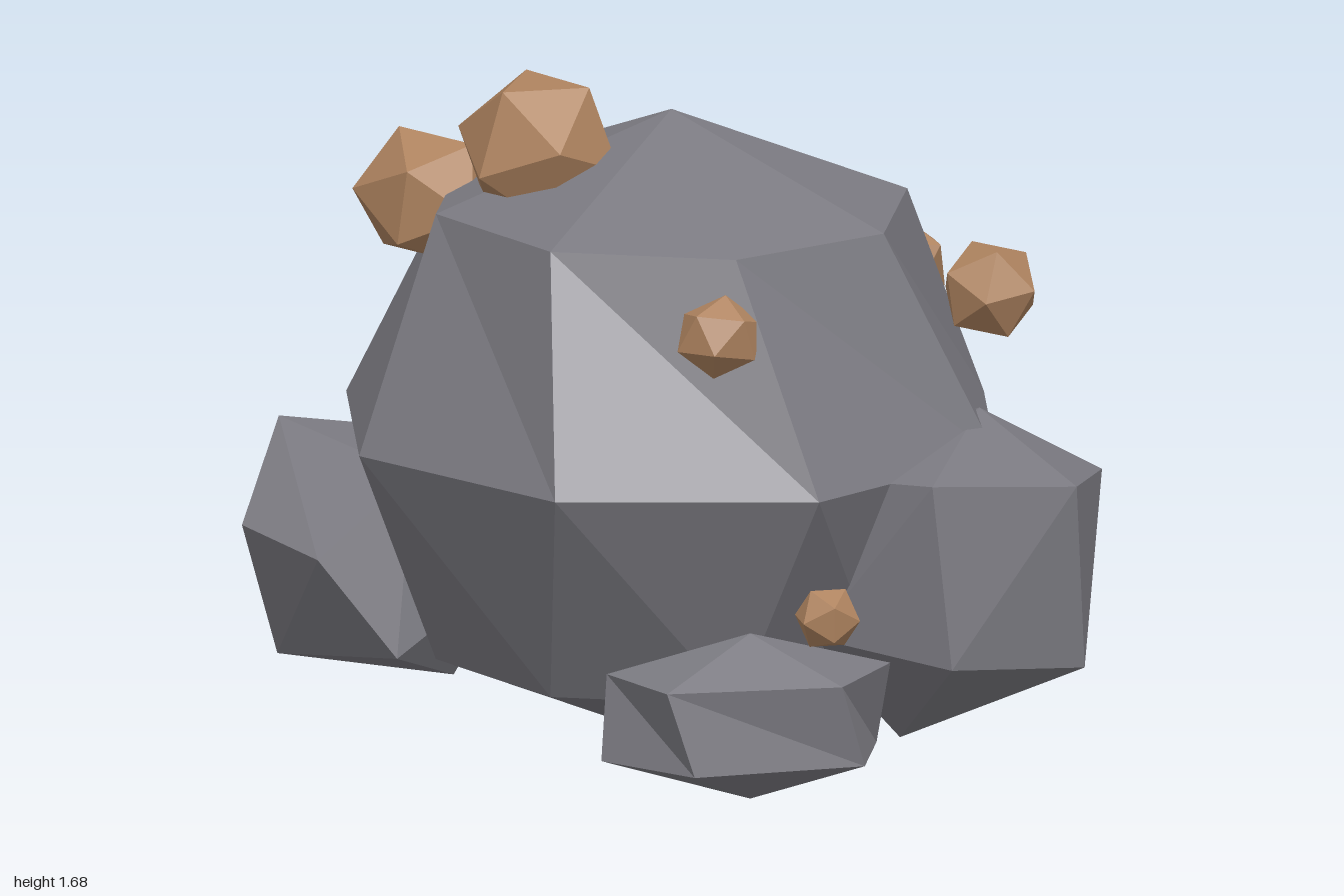
import * as THREE from 'three';
import { ConvexGeometry } from 'three/addons/geometries/ConvexGeometry.js';

const stone = new THREE.MeshStandardMaterial({ color: 0x7b7a81, flatShading: true });
stone.name = 'grey stone';
const ore = new THREE.MeshStandardMaterial({ color: 0xae835f, flatShading: true });
ore.name = 'copper ore';

// Coarse ball whose rings are each turned by their own angle (degrees, from twist(y))
function twistedBall(segments, rows, twist, scale, centre) {
  const geo = new THREE.SphereGeometry(1, segments, rows);
  const pos = geo.attributes.position;
  const v = new THREE.Vector3();
  const up = new THREE.Vector3(0, 1, 0);
  for (let i = 0; i < pos.count; i++) {
    v.fromBufferAttribute(pos, i);
    v.applyAxisAngle(up, THREE.MathUtils.degToRad(twist(v.y)));
    pos.setXYZ(i, v.x, v.y, v.z);
  }
  geo.scale(...scale);
  geo.translate(...centre);
  const flat = geo.toNonIndexed();
  flat.computeVertexNormals();
  return flat;
}

// Rough boulder as the hull of a few corners
function boulder(corners) {
  return new ConvexGeometry(corners.map((c) => new THREE.Vector3(...c)));
}

export function createModel() {
  const model = new THREE.Group();
  model.name = 'oreRock';

  const add = (name, geometry, material) => {
    const mesh = new THREE.Mesh(geometry, material);
    mesh.name = name;
    model.add(mesh);
    return mesh;
  };

  // Main rock: only the middle ring is turned
  add('mainRock', twistedBall(8, 4, (y) => (Math.abs(y) < 0.1 ? 10 : 0),
    [0.85, 0.8, 0.95], [0, 0.81, -0.05]), stone);

  // Low flat rock at the front
  add('frontRock', twistedBall(5, 3, (y) => (y > 0 ? -24 : -12),
    [0.435, 0.21, 0.255], [0, 0.25, 0.77]), stone);

  // Large boulder on the left
  add('leftBoulder', boulder([
    [0.68, 0.91, 0.38], [0.45, 0.82, 0.83], [0.36, 0.81, 0.72], [0.84, 0.78, 0.74],
    [1.0, 0.73, 0.35], [0.86, 0.71, -0.03], [0.49, 0.36, 0.87], [0.87, 0.31, 0.7],
    [0.94, 0.27, 0.3], [0.8, 0.26, -0.05], [0.47, 0.09, 0.41], [0.3, 0.75, 0.2],
    [0.2, 0.4, 0.6], [0.25, 0.35, 0.1],
  ]), stone);

  // Smaller boulder on the right, towards the back
  add('rightBoulder', boulder([
    [-1.0, 0.52, -0.44], [-0.83, 0.72, -0.75], [-0.49, 0.66, -0.81], [-0.89, 0.5, -0.1],
    [-0.6, 0.66, -0.3], [-0.9, 0.18, -0.48], [-0.75, 0.2, -0.71], [-0.43, 0.33, -0.8],
    [-0.47, 0.12, -0.4], [-0.7, 0.25, -0.05], [-0.3, 0.4, -0.4],
  ]), stone);

  // Ore nuggets: centre, then half sizes
  const nuggets = [
    [[-0.33, 1.52, -0.085], [0.21, 0.21, 0.225]],
    [[-0.53, 1.34, -0.42], [0.19, 0.18, 0.21]],
    [[0.81, 1.11, -0.04], [0.13, 0.13, 0.13]],
    [[0.68, 1.09, -0.46], [0.13, 0.12, 0.135]],
    [[0.31, 1.195, -0.72], [0.155, 0.145, 0.14]],
    [[0.12, 0.96, -0.89], [0.15, 0.145, 0.1]],
    [[-0.055, 1.195, 0.675], [0.115, 0.105, 0.09]],
    [[0.18, 0.505, 0.84], [0.085, 0.085, 0.08]],
  ];
  nuggets.forEach(([centre, size], i) => {
    const geo = new THREE.IcosahedronGeometry(1, 0);
    geo.rotateX(0.4 + i * 1.3);
    geo.rotateY(i * 0.9);
    geo.scale(...size);
    geo.computeVertexNormals();
    add(`oreNugget${i + 1}`, geo, ore).position.set(...centre);
  });

  return model;
}
